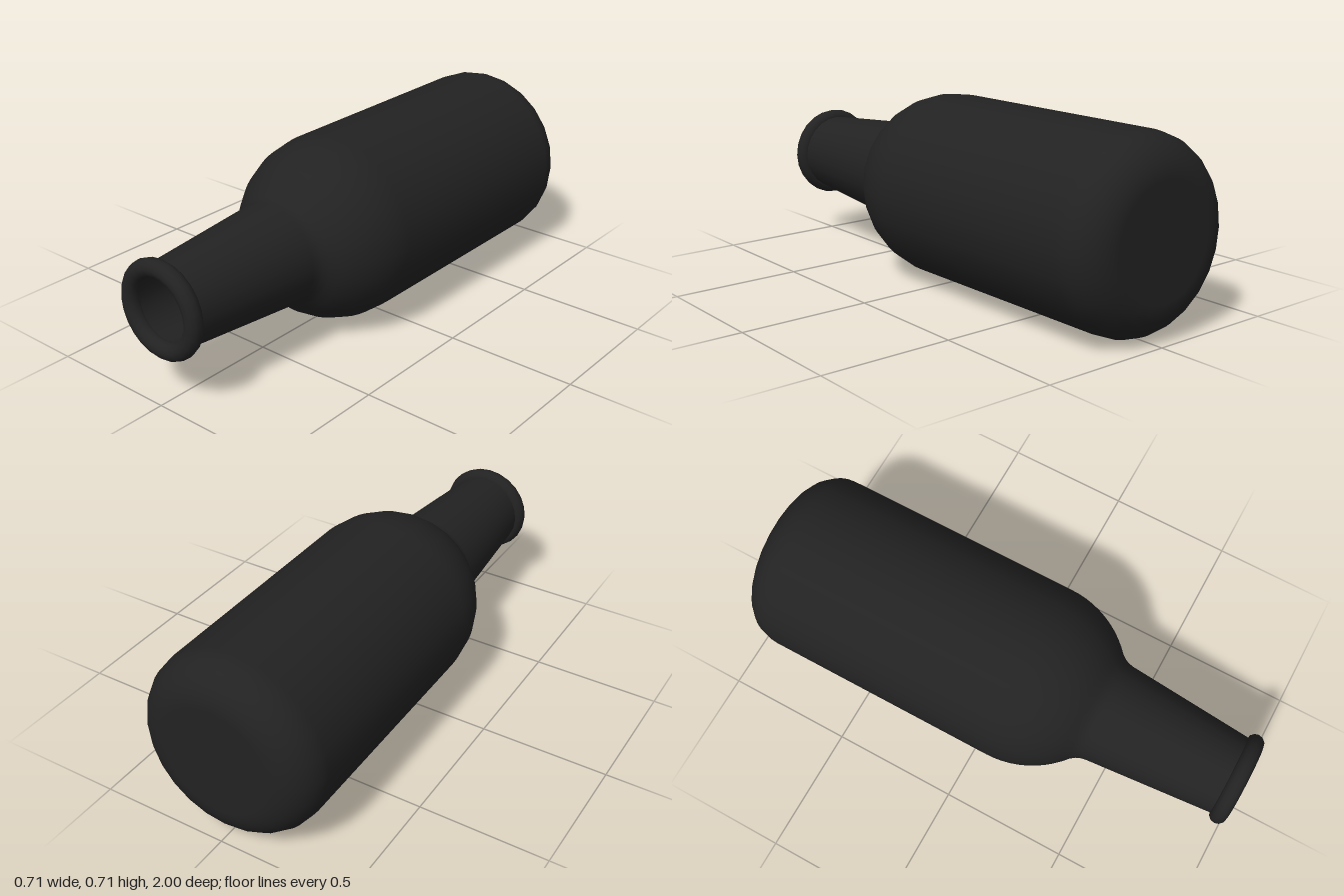
import * as THREE from 'three';

const SIDES = 24;
const RADIUS = 0.356;

export function createModel() {
  const bottle = new THREE.Group();
  bottle.name = 'bottle';
  const glass = new THREE.MeshStandardMaterial({ color: 0x222222 });

  // Turn a profile of [radius, z] points around the z axis
  const turn = (name, profile) => {
    const points = profile.map(([r, z]) => new THREE.Vector2(r, z));
    const geometry = new THREE.LatheGeometry(points, SIDES).rotateX(Math.PI / 2);
    add(name, geometry);
  };
  const add = (name, geometry) => {
    const mesh = new THREE.Mesh(geometry, glass);
    mesh.name = name;
    bottle.add(mesh);
  };
  // Points on an arc; angle 0 points outward, 90 degrees points to the mouth
  const arc = (r, z, radius, from, to, steps) =>
    Array.from({ length: steps + 1 }, (_, i) => {
      const a = THREE.MathUtils.degToRad(from + ((to - from) * i) / steps);
      return [r + radius * Math.cos(a), z + radius * Math.sin(a)];
    });

  // Outer shell: flat base, rounded heel, body, shoulder and tapering neck
  turn('body', [
    [0, -1],
    ...arc(RADIUS - 0.145, -0.855, 0.145, -90, 0, 8),
    ...arc(RADIUS - 0.385, 0.09, 0.385, 0, 49, 10),
    [0.209, 0.4], [0.202, 0.417], [0.198, 0.437],
    [0.154, 0.967],
  ]);

  // Hollow inside, running from the mouth down to the base
  turn('interior', [
    [0.12, 0.967], [0.165, 0.43], [0.19, 0.37],
    ...arc(RADIUS - 0.385, 0.09, 0.35, 45, 0, 6),
    ...arc(RADIUS - 0.145, -0.855, 0.11, 0, -90, 5),
    [0, -0.965],
  ]);

  // Rounded ring around the mouth
  add('lip', new THREE.TorusGeometry(0.151, 0.033, 12, SIDES).translate(0, 0, 0.967));

  bottle.position.y = RADIUS;
  const model = new THREE.Group();
  model.add(bottle);
  return model;
}
